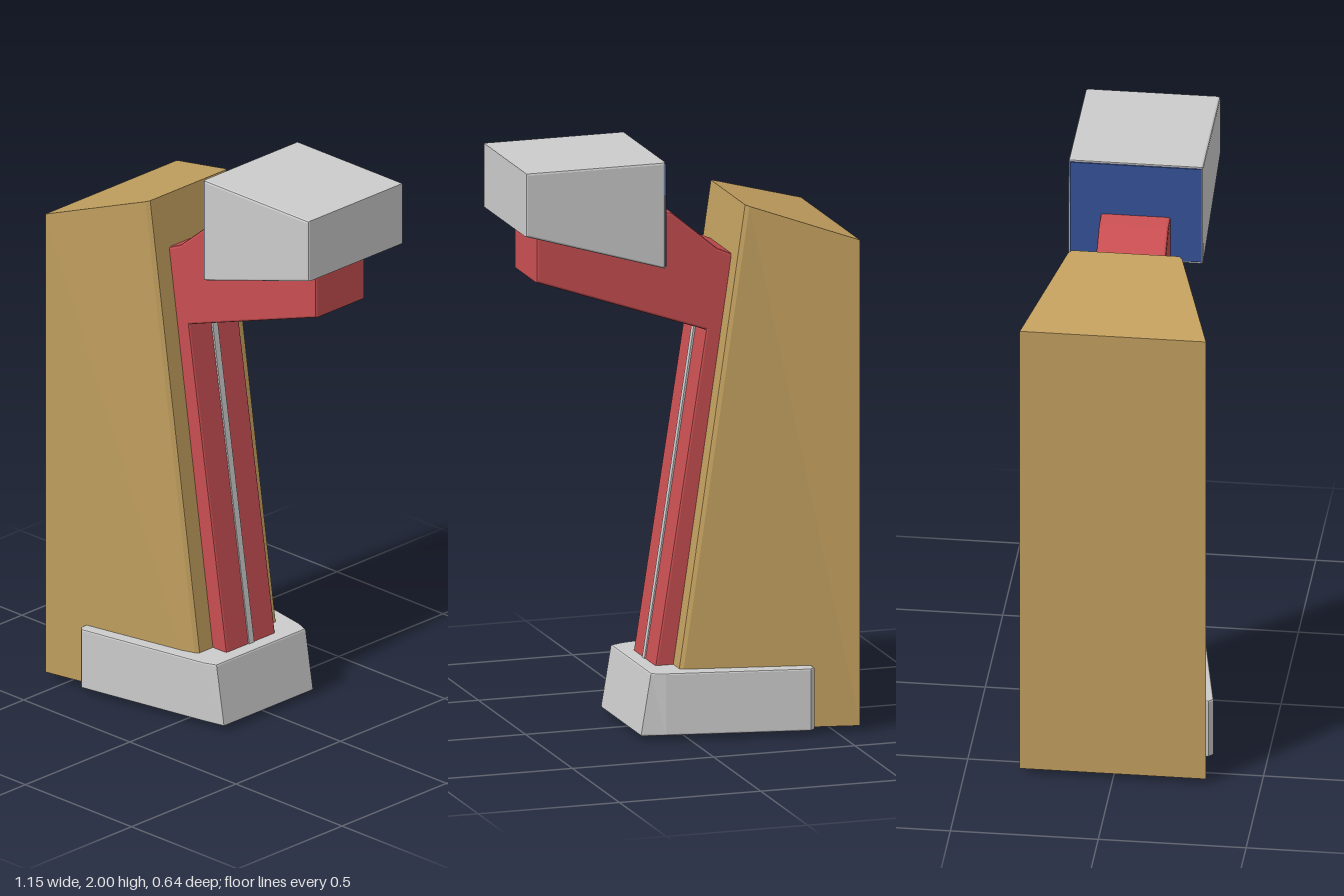
import * as THREE from 'three';

const paint = (color) => new THREE.MeshStandardMaterial({ color });
const grey = paint(0xcccccc), red = paint(0xc94f52), tan = paint(0xc09e5e), blue = paint(0x355196);

const shapeOf = (pts) => new THREE.Shape(pts.map(([x, y]) => new THREE.Vector2(x, y)));

// Side profile (x, y) extruded to a given width, centred on z = 0, outer size kept
function profile(pts, width, bevel) {
  const geo = new THREE.ExtrudeGeometry(shapeOf(pts), {
    depth: width - 2 * bevel, bevelEnabled: bevel > 0, bevelSize: bevel,
    bevelThickness: bevel, bevelOffset: -bevel, bevelSegments: 2,
  });
  return geo.translate(0, 0, -width / 2 + bevel);
}

// Mirrored floor plan (x, half z) extruded upwards from y = 0
function plan(half, height, bevel) {
  const pts = [...half.map(([x, z]) => [x, -z]), ...half.slice().reverse()];
  const geo = new THREE.ExtrudeGeometry(shapeOf(pts), {
    depth: height - 2 * bevel, bevelEnabled: bevel > 0, bevelSize: bevel,
    bevelThickness: bevel, bevelOffset: -bevel, bevelSegments: 2,
  });
  return geo.translate(0, 0, bevel).rotateX(-Math.PI / 2);
}

// Move every vertex by a rule, then refresh the flat normals
function reshape(geo, rule) {
  const p = geo.attributes.position, v = new THREE.Vector3();
  for (let i = 0; i < p.count; i++) {
    rule(v.fromBufferAttribute(p, i));
    p.setXYZ(i, v.x, v.y, v.z);
  }
  geo.computeVertexNormals();
  return geo;
}

export function createModel() {
  const model = new THREE.Group();
  const add = (name, geo, material) => {
    const mesh = new THREE.Mesh(geo, material);
    mesh.name = name;
    model.add(mesh);
  };

  // Tall wedge-shaped body: front leans back, top rises towards the front
  const body = reshape(plan([[-0.58, 0.315], [0.035, 0.193], [0.047, 0.182]], 1, 0), (v) => {
    const t = v.y;
    const front = v.x > -0.5;
    if (front) v.x -= 0.264 * t;
    const top = 1.7 + 0.12 * (v.x + 0.58) / 0.365;
    v.y = 0.02 + t * (top - 0.02);
  });
  add('body', body, tan);

  // Leaning post with the arm that carries the head
  add('postAndArm', profile([
    [-0.26, 0], [0.115, 0], [-0.1, 1.38], [0.5, 1.59], [0.5, 1.775], [0.12, 1.81],
    [0.02, 1.795], [-0.14, 1.66], [-0.19, 1.638], [-0.3, 1.6],
  ], 0.236, 0.008), red);

  // Thin strip running up the post and along the underside of the arm
  add('strip', profile([
    [0.076, 0.2], [0.088, 0.2], [-0.093, 1.378], [0.385, 1.545], [0.385, 1.56], [-0.11, 1.39],
  ], 0.024, 0), grey);

  // Overhanging head with a sloped underside
  add('head', profile([[0.08, 2], [0.08, 1.631], [0.574, 1.78], [0.574, 2]], 0.456, 0.008), grey);

  // Panel on the rear of the head
  add('headBackPanel', new THREE.BoxGeometry(0.012, 0.356, 0.444).translate(0.081, 1.816, 0), blue);

  // Collar around the foot, its front face leaning back
  const collar = reshape(
    plan([[-0.422, 0.305], [-0.405, 0.32], [0.08, 0.231], [0.162, 0.213]], 0.216, 0.006),
    (v) => {
      if (v.x > 0.12) v.x -= 0.036 * v.y / 0.216;
      v.y += 0.016;
    });
  add('collar', collar, grey);

  return model;
}
